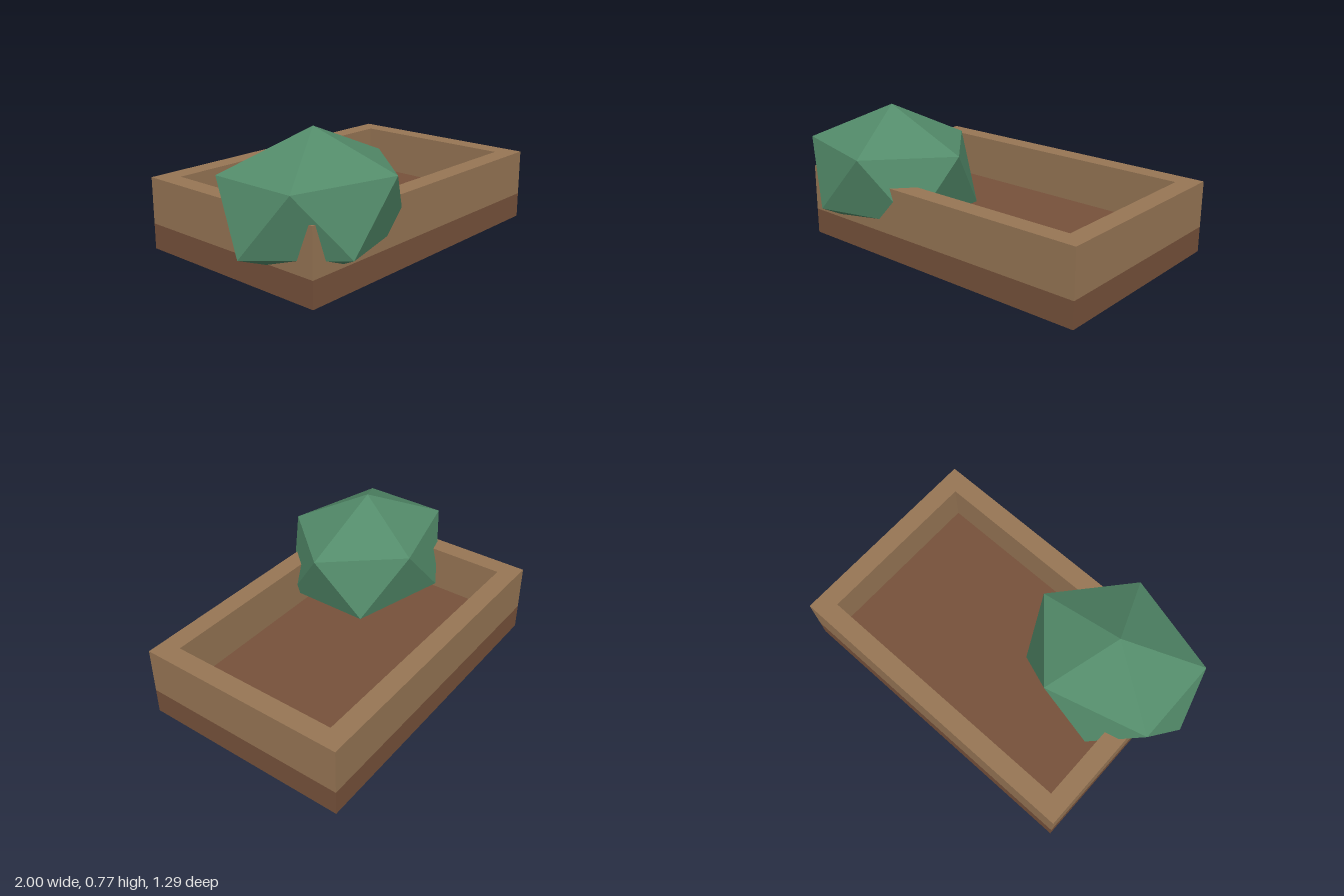
import * as THREE from 'three';

const mat = (name, color) => {
  const m = new THREE.MeshStandardMaterial({ color });
  m.name = name;
  return m;
};

export function createModel() {
  const group = new THREE.Group();
  const wood = mat('wood', 0x977655);
  const soil = mat('soil', 0x77523b);
  const leaf = mat('leaf green', 0x538b6a);
  const add = (name, geometry, material) => {
    const mesh = new THREE.Mesh(geometry, material);
    mesh.name = name;
    group.add(mesh);
    return mesh;
  };

  const width = 1.82, depth = 1.195, wall = 0.11;
  const soilTop = 0.145, rim = 0.408;
  const cx = 0.09, cz = -0.05;

  // Soil slab forming the base
  add('soilBed', new THREE.BoxGeometry(width, soilTop, depth), soil)
    .position.set(cx, soilTop / 2, cz);

  // Rectangular wooden wall around the bed
  const rect = (path, w, d) => path.setFromPoints(
    [[-1, -1], [1, -1], [1, 1], [-1, 1], [-1, -1]].map(([x, y]) => new THREE.Vector2(x * w / 2, y * d / 2)));
  const outline = rect(new THREE.Shape(), width, depth);
  outline.holes.push(rect(new THREE.Path(), width - 2 * wall, depth - 2 * wall));
  const frame = new THREE.ExtrudeGeometry(outline, { depth: rim - soilTop, bevelEnabled: false });
  frame.rotateX(-Math.PI / 2);
  add('plantBoxFrame', frame, wood).position.set(cx, soilTop, cz);

  // Faceted bush: a squashed icosahedron standing on one vertex
  const bush = new THREE.IcosahedronGeometry(1, 0);
  bush.rotateZ(-Math.atan(2 / (1 + Math.sqrt(5))));
  bush.scale(0.572, 0.382, 0.477);
  add('bush', bush, leaf).position.set(-0.488, 0.385, 0.24);

  return group;
}
